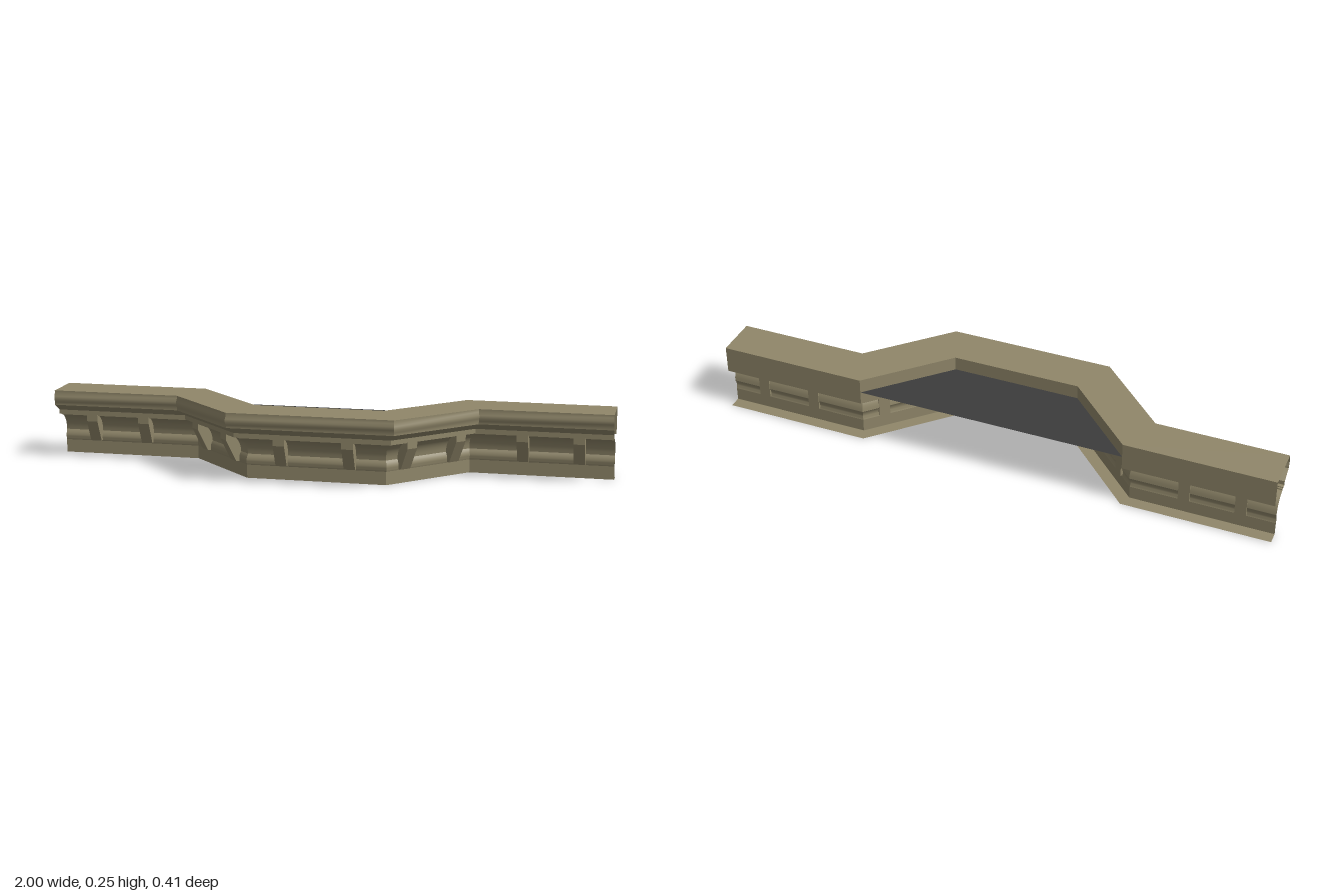
import * as THREE from 'three';
import { toCreasedNormals } from 'three/addons/utils/BufferGeometryUtils.js';

const MITER = Math.tan(Math.PI / 8); // corner shift for the 45 degree bends
const STEP = 0.25;                   // how far the centre bay projects

// Plan of the cornice for a moulding line at depth z (measured on the centre bay)
function planLine(z) {
  const shift = MITER * (z - 0.198);
  const outer = 0.54 + shift, inner = 0.29 + shift;
  return [[-1, z - STEP], [-outer, z - STEP], [-inner, z],
    [inner, z], [outer, z - STEP], [1, z - STEP]];
}

// Sweep a [z, y] profile along the plan with mitred corners
function sweep(profile) {
  const rows = profile.map(([z, y]) => planLine(z).map(([x, pz]) => [x, y, pz]));
  const pos = [];
  for (let j = 0; j < rows.length - 1; j++) {
    for (let i = 0; i < rows[j].length - 1; i++) {
      const a = rows[j][i], b = rows[j][i + 1], c = rows[j + 1][i + 1], d = rows[j + 1][i];
      pos.push(...a, ...b, ...c, ...a, ...c, ...d);
    }
  }
  const geo = new THREE.BufferGeometry();
  geo.setAttribute('position', new THREE.Float32BufferAttribute(pos, 3));
  return toCreasedNormals(geo, 0.6);
}

// Points on a quadratic curve between two profile points
function curve(a, ctrl, b, n) {
  const v = (p) => new THREE.Vector2(...p);
  return new THREE.QuadraticBezierCurve(v(a), v(ctrl), v(b)).getPoints(n).map((p) => [p.x, p.y]);
}

export function createModel() {
  const group = new THREE.Group();
  group.name = 'cornice';
  const stone = new THREE.MeshStandardMaterial({ color: 0x90876a, side: THREE.DoubleSide });
  stone.name = 'olive stone';
  const roof = new THREE.MeshStandardMaterial({ color: 0x3c3c3c, side: THREE.DoubleSide });
  roof.name = 'dark roof';

  const add = (name, geo, mat, parent = group) => {
    const mesh = new THREE.Mesh(geo, mat);
    mesh.name = name;
    parent.add(mesh);
    return mesh;
  };

  // Mouldings from bottom to top
  const bands = {
    frieze: [[0.047, 0], [0.09, 0], [0.09, 0.047]],
    bead: curve([0.09, 0.047], [0.098, 0.066], [0.085, 0.085], 6),
    cove: curve([0.085, 0.085], [0.088, 0.135], [0.132, 0.15], 8),
    bedSteps: [[0.132, 0.15], [0.138, 0.15], [0.138, 0.154], [0.145, 0.154], [0.145, 0.157], [0.158, 0.157]],
    fascia: [[0.158, 0.157], [0.158, 0.172]],
    soffit: [[0.158, 0.172], [0.198, 0.197]],
    crown: [[0.198, 0.197], [0.198, 0.207], [0.203, 0.217], [0.203, 0.229], [0.198, 0.24], [0.198, 0.25]],
    topSlab: [[0.198, 0.25], [0.047, 0.25]],
    backWall: [[0.047, 0.25], [0.047, 0.152]],
  };
  for (const [name, profile] of Object.entries(bands)) add(name, sweep(profile), stone);

  // Brackets: wedge-shaped blocks running through the cove
  const width = 0.04, reach = 0.145;
  const side = new THREE.Shape([[0.084, 0.051], [0.105, 0.051], [reach, 0.13], [reach, 0.159], [0.084, 0.159]]
    .map(([z, y]) => new THREE.Vector2(z - reach, y)));
  const bracketGeo = new THREE.ExtrudeGeometry(side, { depth: width, bevelEnabled: false });
  bracketGeo.translate(0, 0, -width / 2).rotateY(-Math.PI / 2); // profile depth now runs along +z

  const cornerX = 0.29 + MITER * (reach - 0.198);
  const spots = [[0.12, reach, 0], [0.685, reach - STEP, 0], [0.88, reach - STEP, 0]];
  for (const z of [0.08, -0.065]) spots.push([cornerX + reach - z, z, Math.PI / 4]);
  const brackets = new THREE.Group();
  brackets.name = 'brackets';
  group.add(brackets);
  for (const s of [1, -1]) {
    for (const [x, z, turn] of spots) {
      const m = add('bracket', bracketGeo, stone, brackets);
      m.position.set(s * x, 0, z);
      m.rotation.y = s * turn;
    }
  }

  // Flat roof filling the recess behind the centre bay
  const back = planLine(0.047);
  const plan = new THREE.Shape(back.slice(1, 5).map(([x, z]) => new THREE.Vector2(x, -z)));
  const roofGeo = new THREE.ShapeGeometry(plan);
  roofGeo.rotateX(-Math.PI / 2).translate(0, 0.2, 0);
  add('bayRoof', roofGeo, roof);

  return group;
}
